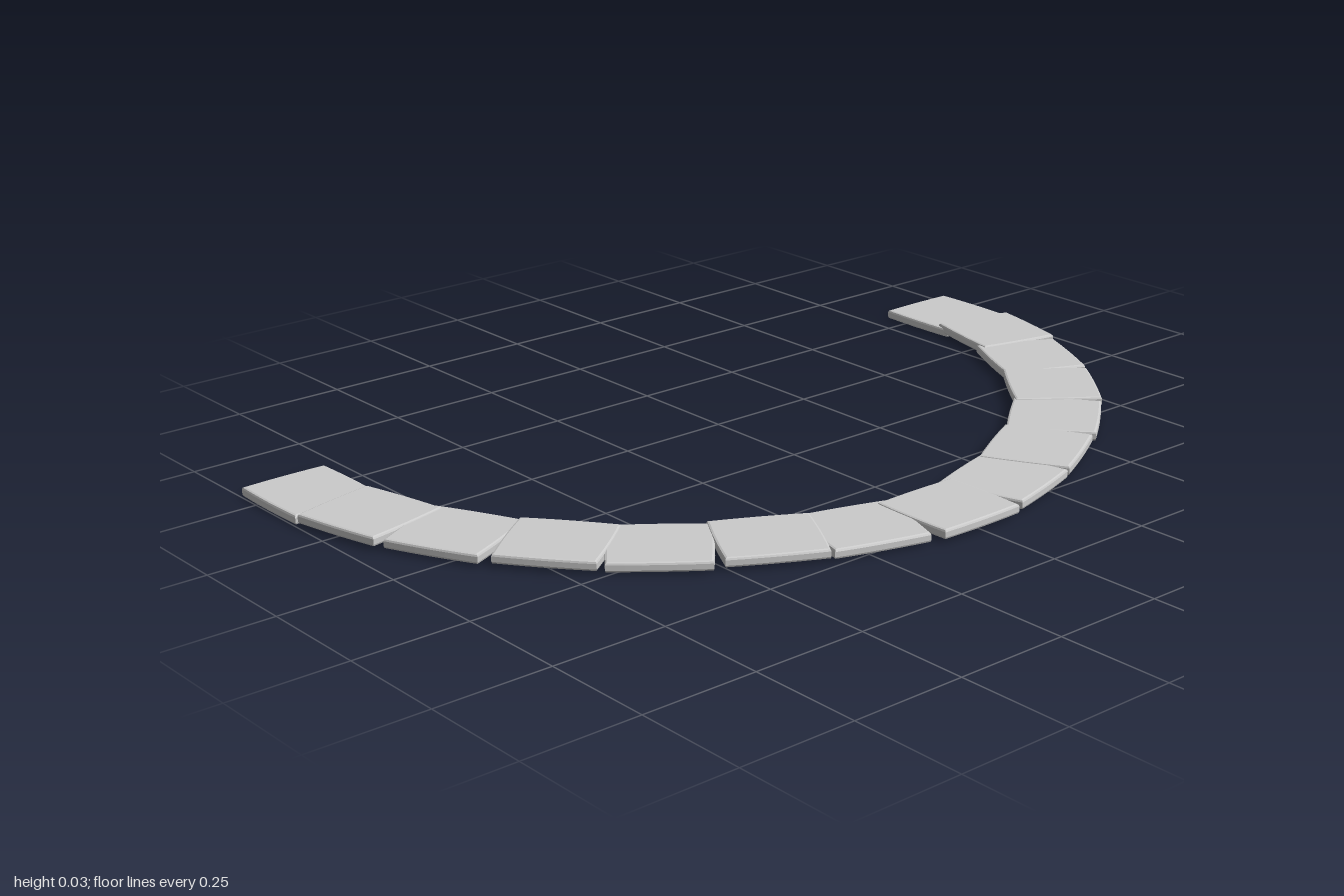
import * as THREE from 'three';

// One thin paving slab: slightly bowed edges, chamfered top and bottom
function slabGeometry(width, length, height) {
  const bevel = 0.005, bow = 0.005;
  const w = width / 2 - bevel, l = length / 2 - bevel;
  const a = w - bow / 2, b = l - bow / 2;
  const shape = new THREE.Shape();
  shape.moveTo(-a, -b);
  shape.quadraticCurveTo(0, -l - bow / 2, a, -b);
  shape.quadraticCurveTo(w + bow / 2, 0, a, b);
  shape.quadraticCurveTo(0, l + bow / 2, -a, b);
  shape.quadraticCurveTo(-w - bow / 2, 0, -a, -b);
  const geo = new THREE.ExtrudeGeometry(shape, {
    depth: height - 2 * bevel, bevelEnabled: true, bevelSize: bevel,
    bevelThickness: bevel, bevelSegments: 2, curveSegments: 6,
  });
  geo.translate(0, 0, bevel);
  geo.rotateX(-Math.PI / 2);
  return geo;
}

export function createModel() {
  const group = new THREE.Group();
  group.name = 'curvedSlabPath';
  const material = new THREE.MeshStandardMaterial({ color: 0xcccccc, flatShading: true });
  const geometry = slabGeometry(0.198, 0.211, 0.021);

  // Left half of the arc: x, z, turn in degrees
  const slabs = [
    [0.9, -0.457, 0], [0.88, -0.265, 13], [0.805, -0.08, 26], [0.69, 0.096, 38],
    [0.55, 0.235, 51], [0.374, 0.348, 61], [0.197, 0.422, 73], [0, 0.462, 90],
  ];
  slabs.forEach(([x, z, turn], i) => {
    // Alternate slabs sit a little higher where they overlap
    const y = i === 0 ? 0.001 : i % 2 ? 0.008 : 0.005;
    for (const side of x === 0 ? [1] : [1, -1]) {
      const slab = new THREE.Mesh(geometry, material);
      slab.name = x === 0 ? 'middleSlab' : `${side > 0 ? 'left' : 'right'}Slab${i + 1}`;
      slab.position.set(side * x, y - 0.001, z);
      slab.rotation.y = -side * THREE.MathUtils.degToRad(turn);
      group.add(slab);
    }
  });
  return group;
}
